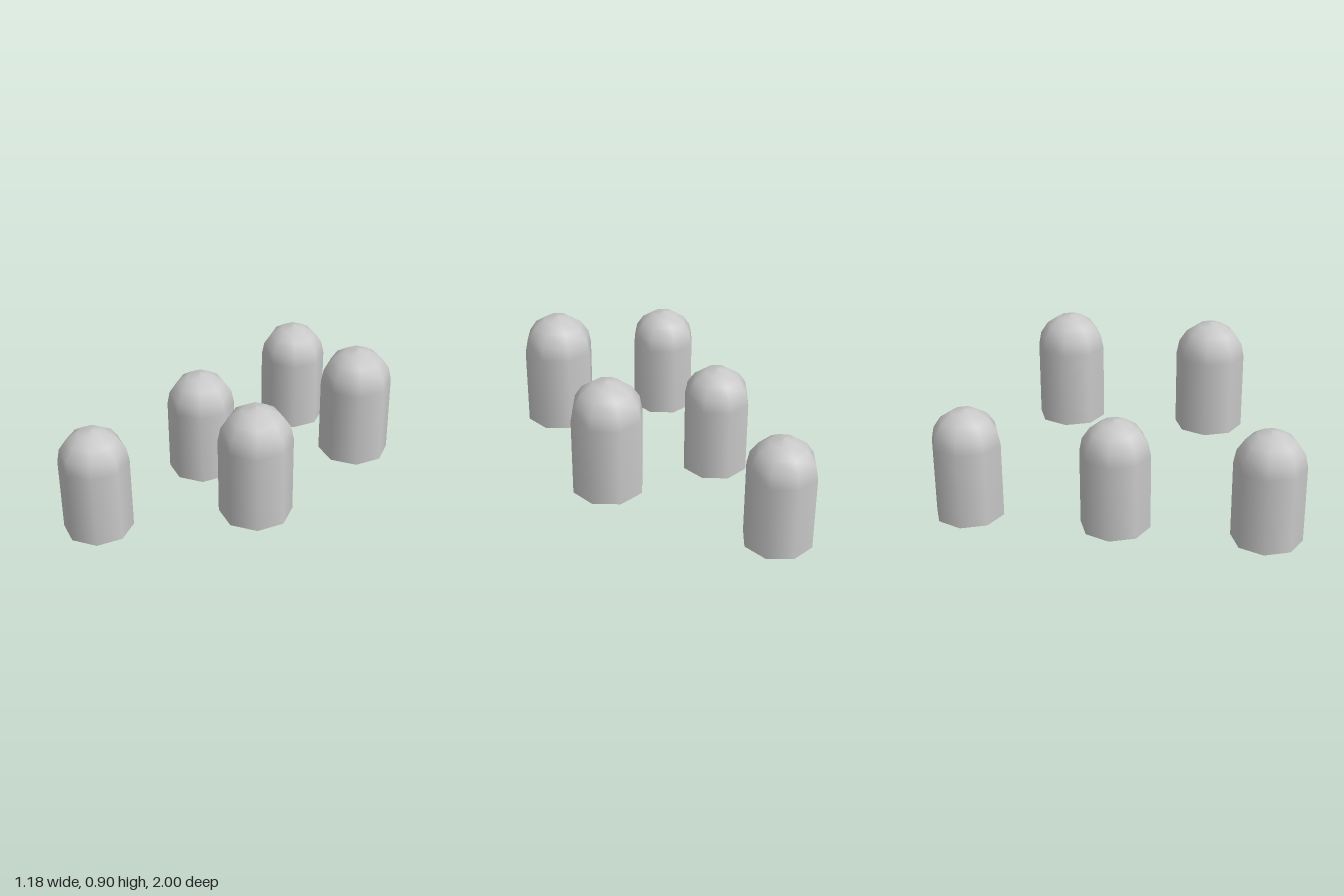
import * as THREE from 'three';

const RADIUS = 0.191;
const WALL_HEIGHT = 0.424;
const DOME_STEPS = 4;
const SIDES = 8;

// Open-bottomed tube closed by a hemispherical dome
function domedShellGeometry() {
  const profile = [new THREE.Vector2(RADIUS, 0)];
  for (let i = 0; i <= DOME_STEPS; i++) {
    const a = (i / DOME_STEPS) * Math.PI / 2;
    const r = i === DOME_STEPS ? 0 : RADIUS * Math.cos(a);
    profile.push(new THREE.Vector2(r, WALL_HEIGHT + RADIUS * Math.sin(a)));
  }
  return new THREE.LatheGeometry(profile, SIDES);
}

export function createModel() {
  const model = new THREE.Group();
  model.name = 'domedShells';

  const grey = new THREE.MeshStandardMaterial({ color: 0xc8c8c8, side: THREE.DoubleSide });
  grey.name = 'lightGrey';
  const geometry = domedShellGeometry();

  // Five shells in a zigzag: three low on the right, two raised on the left
  for (let i = 0; i < 5; i++) {
    const raised = i % 2 === 1;
    const shell = new THREE.Mesh(geometry, grey);
    shell.name = (raised ? 'raisedShell' : 'lowShell') + (i + 1);
    shell.position.set(raised ? 0.396 : -0.398, raised ? 0.281 : 0, (i - 2) * 0.4045);
    model.add(shell);
  }
  return model;
}
